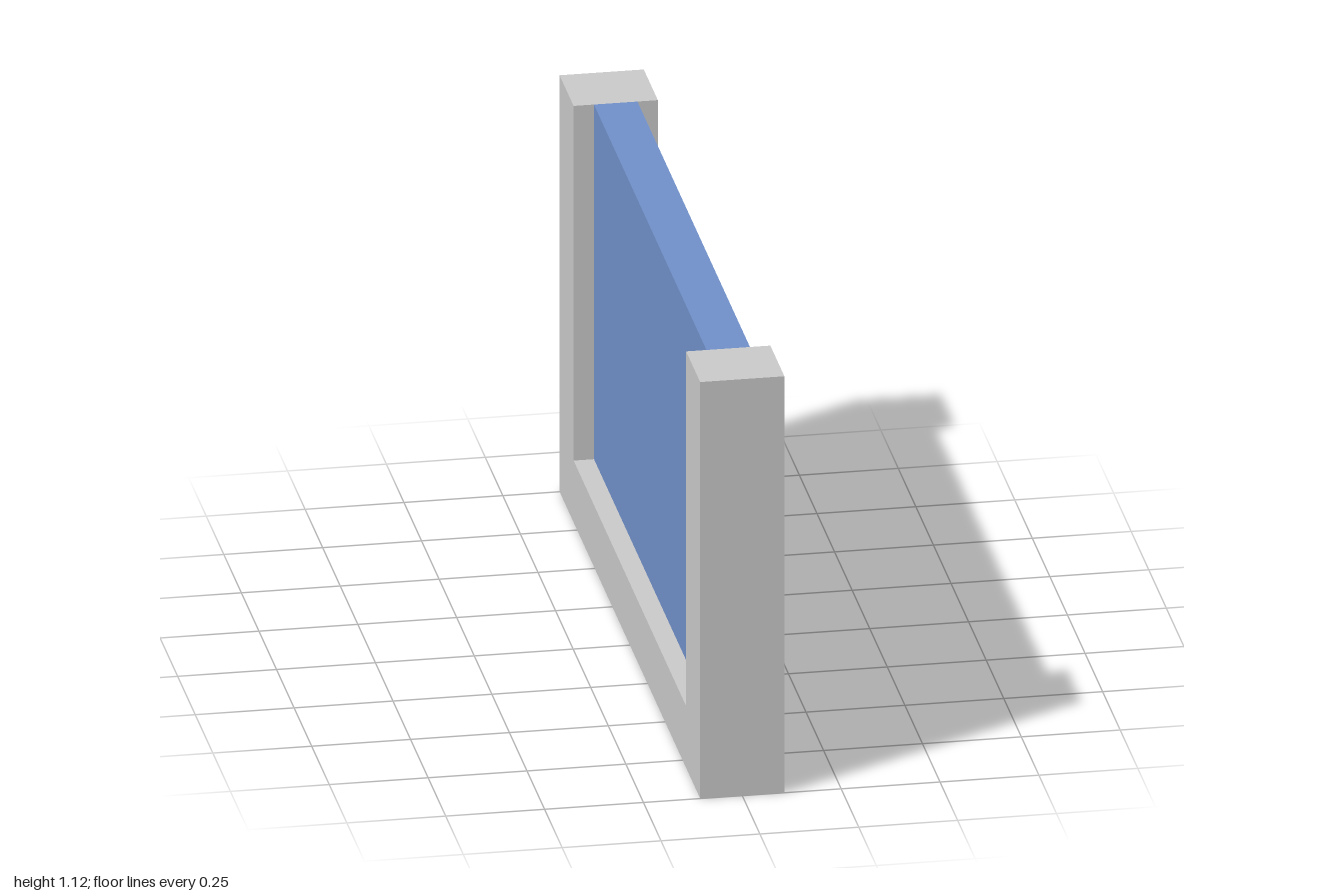
import * as THREE from 'three';

export function createModel() {
  const model = new THREE.Group();
  const frameGrey = new THREE.MeshStandardMaterial({ color: 0xcacaca });
  frameGrey.name = 'frameGrey';
  const panelBlue = new THREE.MeshStandardMaterial({ color: 0x7091ca });
  panelBlue.name = 'panelBlue';

  const height = 1.125, halfLength = 1, innerHalf = 0.8, sill = 0.167;
  const frameDepth = 0.213, panelDepth = 0.11;

  // U-shaped frame: two posts joined by a sill, open at the top
  const outline = new THREE.Shape([
    [-halfLength, 0], [halfLength, 0], [halfLength, height], [innerHalf, height],
    [innerHalf, sill], [-innerHalf, sill], [-innerHalf, height], [-halfLength, height],
  ].map(([z, y]) => new THREE.Vector2(z, y)));
  const frameGeometry = new THREE.ExtrudeGeometry(outline, { depth: frameDepth, bevelEnabled: false });
  frameGeometry.translate(0, 0, -frameDepth / 2).rotateY(Math.PI / 2);
  const frame = new THREE.Mesh(frameGeometry, frameGrey);
  frame.name = 'frame';
  model.add(frame);

  // Thinner panel filling the opening
  const panel = new THREE.Mesh(
    new THREE.BoxGeometry(panelDepth, height - sill, innerHalf * 2), panelBlue);
  panel.position.y = (height + sill) / 2;
  panel.name = 'panel';
  model.add(panel);

  return model;
}
